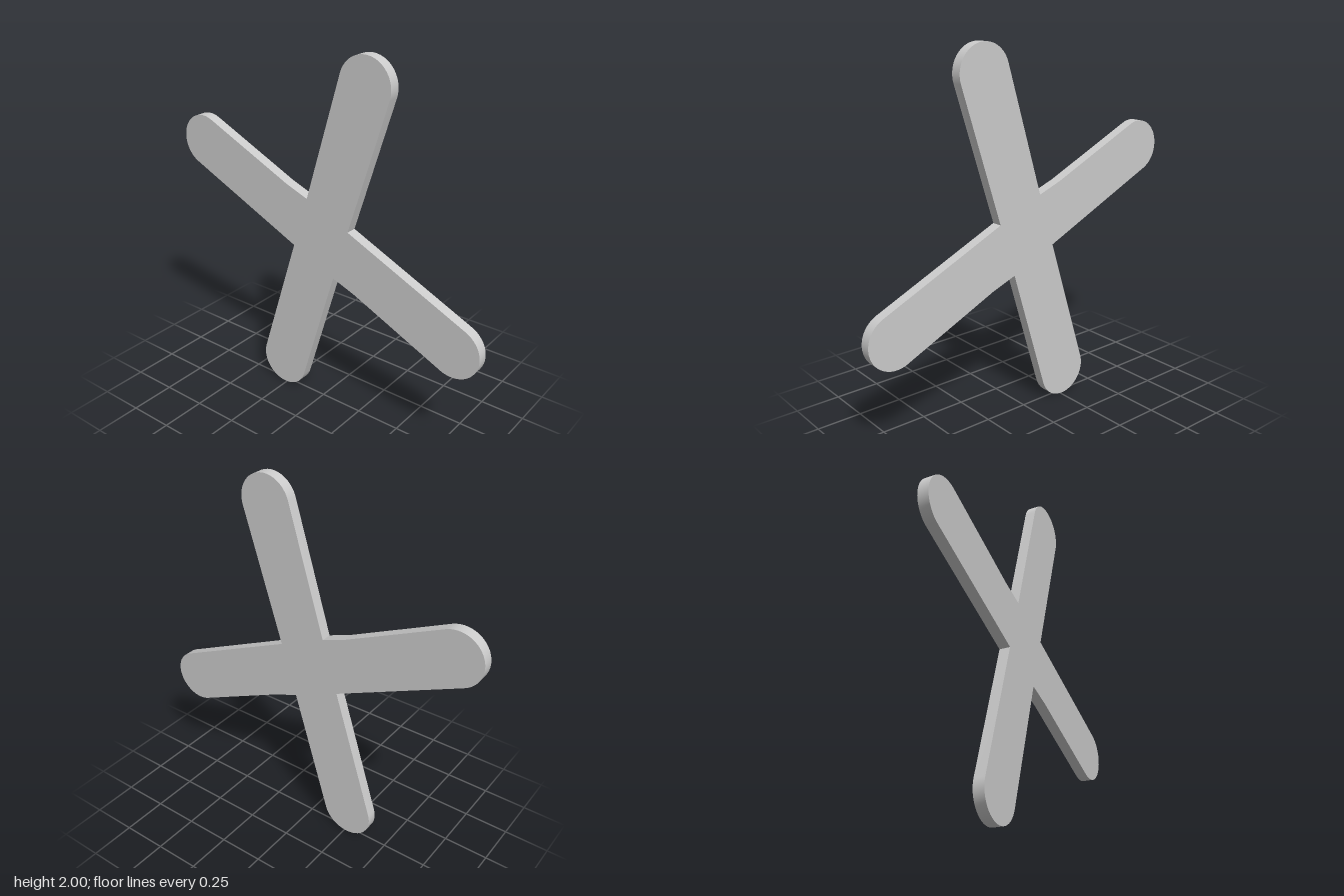
import * as THREE from 'three';
import { toCreasedNormals } from 'three/addons/utils/BufferGeometryUtils.js';

const THICKNESS = 0.06;

export function createModel() {
  const group = new THREE.Group();
  group.name = 'crossPlate';

  // Outline around the hub: half of it, then the same half turned by 180 degrees
  const shape = new THREE.Shape();
  const deg = Math.PI / 180;
  for (const s of [1, -1]) {
    const turn = s > 0 ? 0 : Math.PI;
    const corner = (x, y) => shape.lineTo(s * x, s * y);
    const roundEnd = (x, y, r, angle) =>
      shape.absarc(s * x, s * y, r, (angle - 90) * deg + turn, (angle + 90) * deg + turn, false);
    if (s > 0) shape.moveTo(0.087, -0.204);
    else corner(0.087, -0.204);
    corner(0.225, -0.256);               // slight bend beside the hub
    roundEnd(0.818, -0.367, 0.147, -24); // flatter arm
    corner(0.177, 0.087);                // inner corner
    roundEnd(0.262, 0.852, 0.148, 73);   // steeper arm
  }
  shape.closePath();

  // Flat plate with sharp rims and smooth round ends
  const plate = new THREE.ExtrudeGeometry(shape, {
    depth: THICKNESS, bevelEnabled: false, curveSegments: 12,
  });
  plate.translate(0, 1, -THICKNESS / 2);
  const mesh = new THREE.Mesh(
    toCreasedNormals(plate, 0.5),
    new THREE.MeshStandardMaterial({ color: 0xcccccc }),
  );
  mesh.name = 'crossedArms';
  group.add(mesh);
  return group;
}
